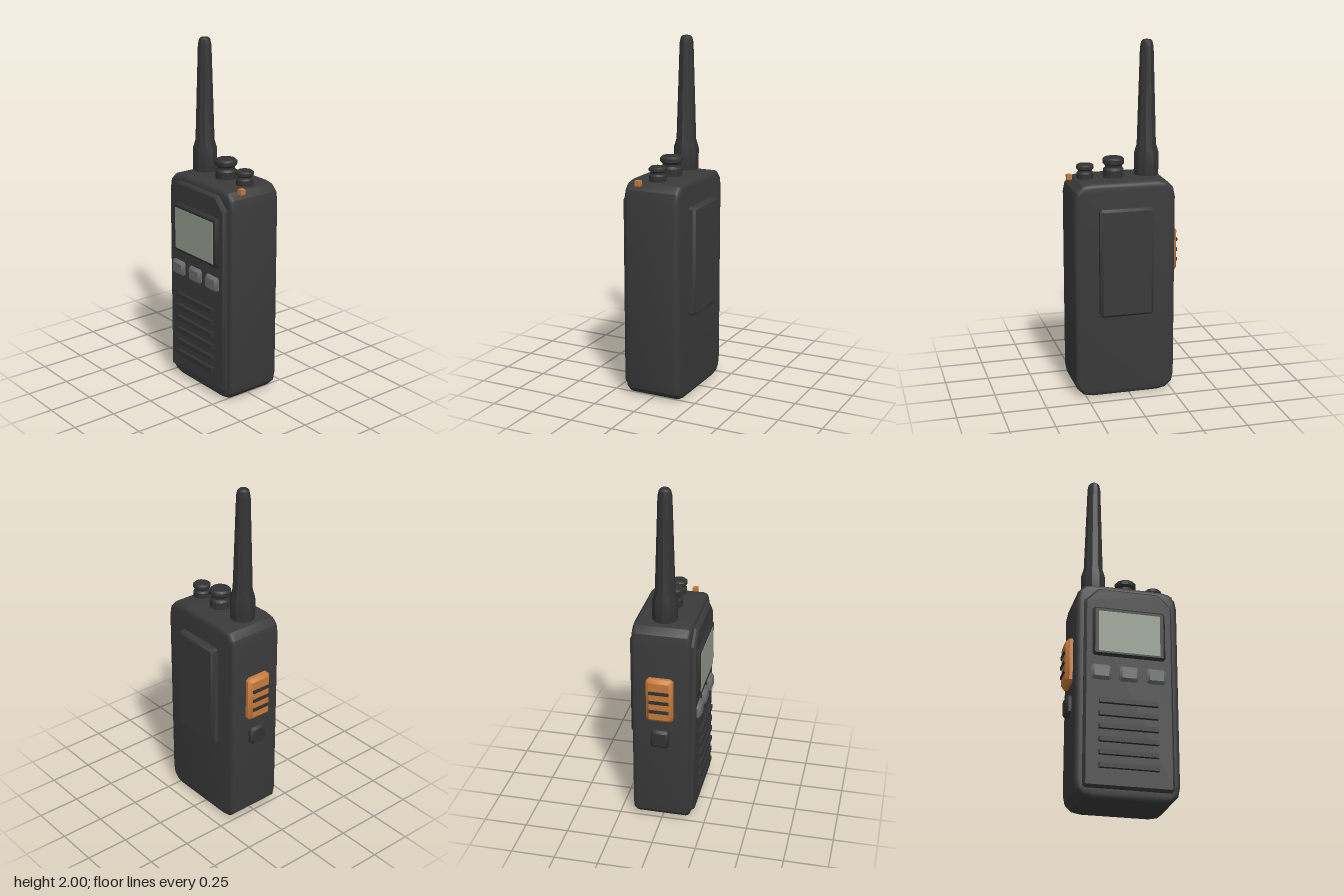
import * as THREE from 'three';
import { toCreasedNormals } from 'three/addons/utils/BufferGeometryUtils.js';

const mat = (name, color) => {
  const m = new THREE.MeshStandardMaterial({ color });
  m.name = name;
  return m;
};

export function createModel() {
  const group = new THREE.Group();
  const casing = mat('charcoal casing', 0x3a3a3a);
  const rubber = mat('dark rubber', 0x323232);
  const orange = mat('orange', 0xc87a3a);
  const glass = mat('grey green screen', 0x939c8e);
  const grey = mat('grey keys', 0x696d6b);

  const add = (name, geometry, material, x, y, z) => {
    const mesh = new THREE.Mesh(geometry, material);
    mesh.name = name;
    mesh.position.set(x, y, z);
    group.add(mesh);
    return mesh;
  };

  // Rectangle outline with rounded corners; top and bottom radii may differ
  const outline = (w, h, top, bottom) => {
    const s = new THREE.Shape(), a = w / 2, b = h / 2;
    s.moveTo(-a + bottom, -b);
    s.lineTo(a - bottom, -b);
    s.quadraticCurveTo(a, -b, a, -b + bottom);
    s.lineTo(a, b - top);
    s.quadraticCurveTo(a, b, a - top, b);
    s.lineTo(-a + top, b);
    s.quadraticCurveTo(-a, b, -a, b - top);
    s.lineTo(-a, -b + bottom);
    s.quadraticCurveTo(-a, -b, -a + bottom, -b);
    return s;
  };

  // Bevelled slab, centred on all axes
  const slab = (w, h, d, bevel, top = 0.004, bottom = top, steps = 1, curve = 1) => {
    const g = new THREE.ExtrudeGeometry(
      outline(w - 2 * bevel, h - 2 * bevel, top, bottom),
      { depth: d - 2 * bevel, bevelSize: bevel, bevelThickness: bevel, bevelSegments: steps, curveSegments: curve });
    g.translate(0, 0, bevel - d / 2);
    return toCreasedNormals(g, 0.55);
  };

  const turned = (points, sides) => {
    const g = new THREE.LatheGeometry(points.map(([r, y]) => new THREE.Vector2(r, y)), sides);
    g.rotateY(Math.PI / 2);
    return toCreasedNormals(g, 0.5);
  };

  // Casing and raised front panel
  const cx = 0.0225;
  add('body', slab(0.575, 1.24, 0.33, 0.026, 0.075, 0.075, 3, 3), casing, cx, 0.625, -0.005);
  add('frontPanel', slab(0.495, 1.15, 0.05, 0.012, 0.07, 0.005, 1, 1), casing, cx, 0.635, 0.161);

  // Display
  add('screenBezel', slab(0.41, 0.29, 0.03, 0.013, 0.006), rubber, cx, 0.945, 0.186);
  add('screen', new THREE.BoxGeometry(0.345, 0.24, 0.008), glass, cx, 0.942, 0.2);

  // Keys below the display
  for (const x of [-0.133, 0.02, 0.172])
    add('key', slab(0.108, 0.085, 0.04, 0.014), grey, x, 0.702, 0.188);

  // Speaker slats
  for (let i = 0; i < 6; i++)
    add('speakerSlat', new THREE.BoxGeometry(0.325, 0.026, 0.025), rubber, 0.018, 0.175 + i * 0.0722, 0.195);

  // Antenna with thick base and tapered whip
  add('antenna', turned([
    [0, 0], [0.071, 0], [0.071, 0.12], [0.056, 0.17], [0.039, 0.71], [0.032, 0.74], [0.022, 0.75], [0, 0.75],
  ], 10), rubber, -0.14, 1.25, -0.003);

  // Control knobs with a grooved waist
  const knob = (name, x, r, h) => add(name, turned([
    [0, 0], [r * 0.95, 0], [r * 0.95, h * 0.38], [r * 0.78, h * 0.5], [r * 0.78, h * 0.6],
    [r, h * 0.72], [r, h * 0.9], [r * 0.82, h], [0, h],
  ], 12), rubber, x, 1.245, -0.004);
  knob('volumeKnob', 0.05, 0.062, 0.11);
  knob('channelKnob', 0.213, 0.05, 0.08);

  // Status light
  add('statusLight', new THREE.BoxGeometry(0.029, 0.03, 0.029), orange, 0.286, 1.237, 0.078);

  // Talk button with grip ridges, and a smaller button below
  add('talkButton', slab(0.152, 0.265, 0.06, 0.019), orange, -0.273, 0.812, -0.005).rotation.y = -Math.PI / 2;
  for (const y of [0.75, 0.808, 0.866])
    add('gripRidge', new THREE.BoxGeometry(0.02, 0.018, 0.113), rubber, -0.3, y, -0.004);
  add('sideButton', slab(0.105, 0.11, 0.05, 0.015), rubber, -0.27, 0.56, -0.005).rotation.y = -Math.PI / 2;

  // Back plate
  add('backPlate', slab(0.305, 0.62, 0.06, 0.014), casing, 0.0225, 0.795, -0.18);

  return group;
}
